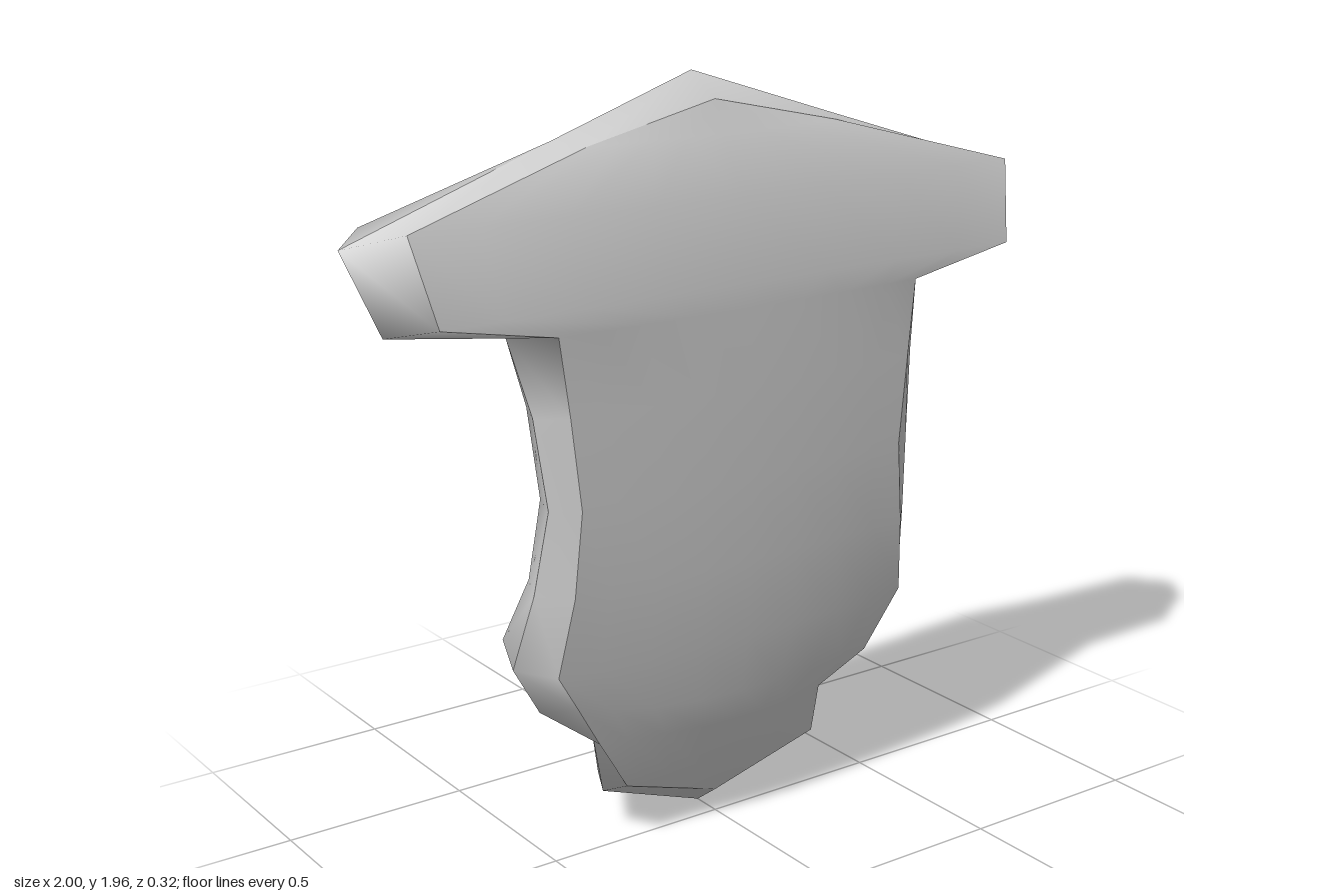
import * as THREE from 'three';
import { mergeVertices } from 'three/addons/utils/BufferGeometryUtils.js';

// Half outlines, top to bottom on the +x side, as [x, y, z].
const FRONT = [
  [0, 1.9, 0], [0.37, 1.82, 0.01], [0.89, 1.68, 0.08], [0.85, 1.47, 0.14], [0.54, 1.41, 0.135],
  [0.515, 1.21, 0.14], [0.49, 0.98, 0.143], [0.51, 0.76, 0.135], [0.54, 0.55, 0.1],
  [0.44, 0.39, 0.08], [0.3, 0.31, 0.06], [0.3, 0.17, 0.03], [0, 0.065, 0],
];
const RIM = [
  [0, 1.96, -0.1], [0.42, 1.825, -0.08], [1, 1.64, -0.04], [0.93, 1.44, 0.02], [0.62, 1.4, 0.03],
  [0.58, 1.21, 0.075], [0.555, 0.98, 0.095], [0.58, 0.76, 0.06], [0.615, 0.56, 0.01],
  [0.525, 0.415, -0.02], [0.36, 0.315, -0.04], [0.31, 0.12, -0.07], [0, 0.005, -0.08],
];
const BACK = [
  [0, 1.9, -0.155], [0.4, 1.78, -0.148], [0.89, 1.66, -0.16], [0.87, 1.46, -0.11], [0.57, 1.38, -0.055],
  [0.54, 1.21, -0.02], [0.52, 0.98, 0], [0.54, 0.77, -0.03], [0.57, 0.59, -0.115],
  [0.48, 0.44, -0.115], [0.31, 0.31, -0.12], [0.28, 0.14, -0.14], [0, 0.06, -0.14],
];
// Centre line depth of the front, and height and depth of the back, one per outline row.
const FRONT_MID = [0, 0.035, 0.118, 0.147, 0.15, 0.158, 0.16, 0.158, 0.145, 0.115, 0.1, 0.045, 0];
const BACK_MID = [
  [1.9, -0.155], [1.78, -0.14], [1.63, -0.125], [1.46, -0.112], [1.36, -0.03],
  [1.2, 0.035], [0.98, 0.05], [0.72, 0.025], [0.53, -0.08],
  [0.42, -0.115], [0.3, -0.12], [0.14, -0.135], [0.06, -0.14],
];

const mirror = ([x, y, z]) => [-x, y, z];

// The front face has no notch at the lower right hip.
const FRONT_RIGHT = FRONT.map(mirror);
FRONT_RIGHT[9] = [-0.475, 0.445, 0.085];
FRONT_RIGHT[10] = [-0.4, 0.325, 0.06];

// Smooth surface through rows of points.
function skin(rows, flip) {
  const n = rows[0].length;
  const index = [];
  for (let i = 0; i < rows.length - 1; i++) {
    for (let j = 0; j < n - 1; j++) {
      const a = i * n + j, b = a + n, c = b + 1, d = a + 1;
      index.push(...(flip ? [a, c, b, a, d, c] : [a, b, c, a, c, d]));
    }
  }
  const geometry = new THREE.BufferGeometry();
  geometry.setAttribute('position', new THREE.Float32BufferAttribute(rows.flat(2), 3));
  geometry.setIndex(index);
  const merged = mergeVertices(geometry, 1e-4);
  merged.computeVertexNormals();
  return merged;
}

// Points from an outline point in towards the centre line.
function inward([x, y, z], midY, midZ, columns, ease) {
  const { lerp } = THREE.MathUtils;
  return columns.map((t) => [x * t, lerp(midY, y, ease(t)), lerp(midZ, z, ease(t))]);
}

// Closed loop of an outline, clockwise from the front.
function ring(left, right) {
  return [...left, ...right.slice(1, -1).reverse(), left[0]];
}

export function createModel() {
  const group = new THREE.Group();
  group.name = 'chestPlate';
  const material = new THREE.MeshStandardMaterial({ color: 0xcccccc });
  const add = (name, geometry) => {
    const mesh = new THREE.Mesh(geometry, material);
    mesh.name = name;
    group.add(mesh);
  };

  // Gently domed front
  const frontRows = FRONT.map((p, i) => {
    const half = (q) => inward(q, p[1], FRONT_MID[i], [1, 0.8, 0.55, 0.28], (t) => t * t);
    return [...half(FRONT_RIGHT[i]), [0, p[1], FRONT_MID[i]], ...half(p).reverse()];
  });
  add('frontFace', skin(frontRows, false));

  // Bevel between the front edge and the widest rim
  add('frontBevel', skin([ring(FRONT, FRONT_RIGHT), ring(RIM, RIM.map(mirror))], true));

  // Back with rounded border and shallow hollow in the middle
  const backRows = BACK.map((p, i) => {
    const [y, z] = BACK_MID[i];
    const ease = (t) => THREE.MathUtils.smoothstep(t, 0.4, 1);
    const half = [RIM[i], ...inward(p, y, z, [1, 0.88, 0.74, 0.4], ease)];
    return [...half.map(mirror), [0, y, z], ...half.reverse()];
  });
  add('hollowBack', skin(backRows, true));

  return group;
}
